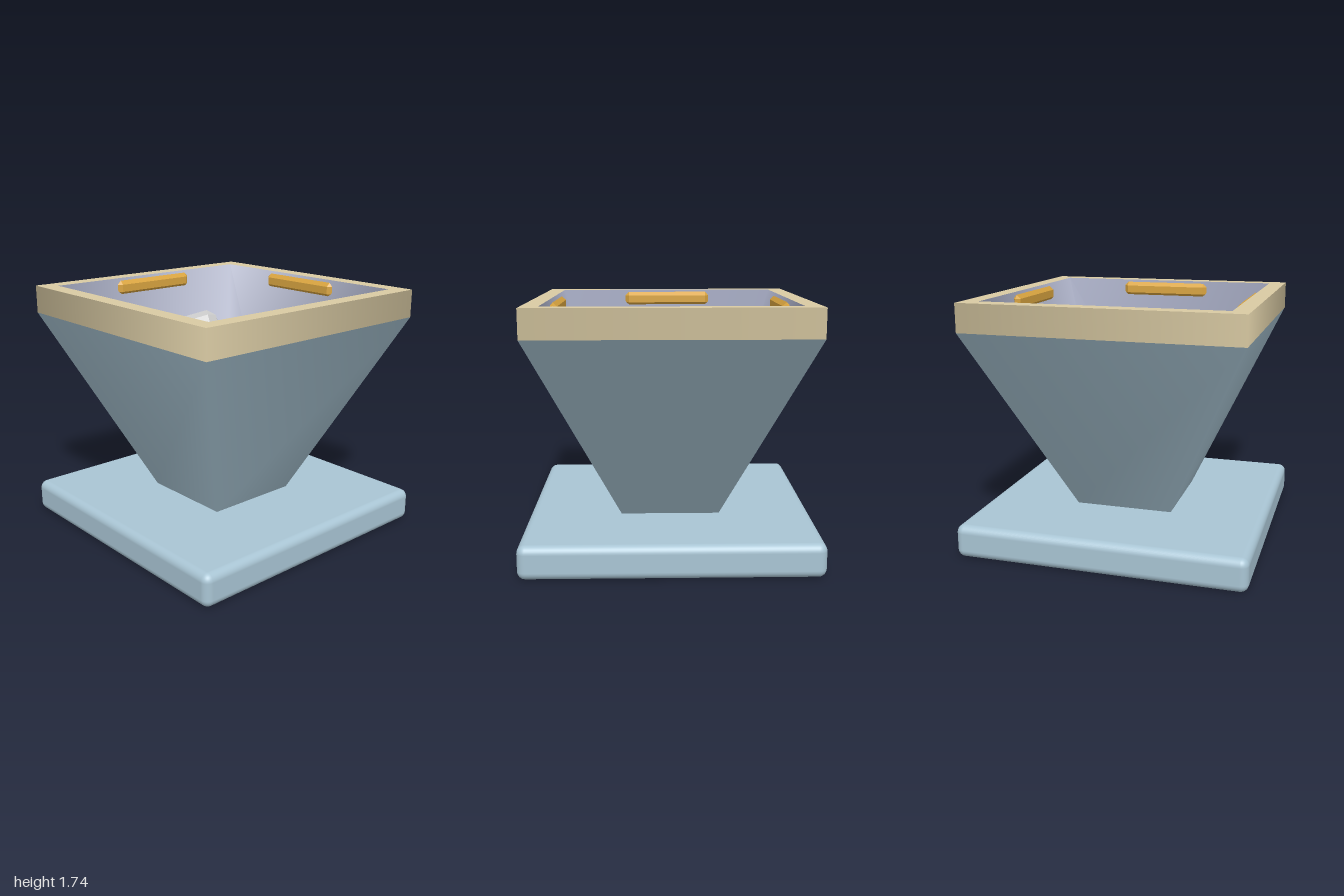
import * as THREE from 'three';
import { RoundedBoxGeometry } from 'three/addons/geometries/RoundedBoxGeometry.js';
import { ConvexGeometry } from 'three/addons/geometries/ConvexGeometry.js';

function makeMaterial(name, color, side = THREE.FrontSide) {
  const m = new THREE.MeshStandardMaterial({ color, side });
  m.name = name;
  return m;
}

// Box with single flat chamfers along every edge
function chamferBox(w, h, d, bevel) {
  const pts = [];
  for (const sx of [-1, 1]) for (const sy of [-1, 1]) for (const sz of [-1, 1]) {
    for (let axis = 0; axis < 3; axis++) {
      const inset = [0, 1, 2].map((i) => (i === axis ? 0 : bevel));
      pts.push(new THREE.Vector3(
        sx * (w / 2 - inset[0]), sy * (h / 2 - inset[1]), sz * (d / 2 - inset[2])));
    }
  }
  return new ConvexGeometry(pts);
}

// Open four-sided funnel wall, given half widths and heights
function squareWall(topHalf, bottomHalf, y0, y1) {
  const r = Math.SQRT2;
  return new THREE.CylinderGeometry(topHalf * r, bottomHalf * r, y1 - y0, 4, 1, true, Math.PI / 4)
    .translate(0, (y0 + y1) / 2, 0);
}

function squarePath(path, h) {
  path.moveTo(-h, -h);
  path.lineTo(h, -h);
  path.lineTo(h, h);
  path.lineTo(-h, h);
  path.closePath();
  return path;
}

export function createModel() {
  const model = new THREE.Group();
  const blue = makeMaterial('paleBlue', 0xa9c5d4);
  const tan = makeMaterial('sand', 0xd9caa3);
  const lavender = makeMaterial('lavender', 0xa0a5bc, THREE.DoubleSide);
  const gold = makeMaterial('gold', 0xdaa540);
  const grey = makeMaterial('stoneGrey', 0xcacaca);

  function add(name, geometry, material) {
    const mesh = new THREE.Mesh(geometry, material);
    mesh.name = name;
    model.add(mesh);
    return mesh;
  }

  const baseTop = 0.23, rimBottom = 1.54, rimTop = 1.735;
  const outer = 0.94, inner = 0.825, floorHalf = 0.31;

  // Base slab
  add('base', new RoundedBoxGeometry(2, baseTop, 2, 4, 0.055), blue)
    .position.y = baseTop / 2;

  // Hopper shell, lining and floor
  add('hopperShell', squareWall(outer, 0.345, baseTop, rimBottom), blue);
  add('hopperLining', squareWall(inner, floorHalf, 0.25, rimTop), lavender);
  add('hopperFloor', new THREE.PlaneGeometry(2 * floorHalf, 2 * floorHalf)
    .rotateX(-Math.PI / 2).translate(0, 0.25, 0), lavender);

  // Rim band with a flat top ring
  add('rimBand', squareWall(outer, outer, rimBottom, rimTop), tan);
  const ring = squarePath(new THREE.Shape(), outer);
  ring.holes.push(squarePath(new THREE.Path(), inner));
  add('rimTop', new THREE.ShapeGeometry(ring)
    .rotateX(-Math.PI / 2).translate(0, rimTop, 0), tan);

  // One gold bar inside each side of the rim
  const barGeometry = chamferBox(0.67, 0.11, 0.056, 0.0279);
  for (let i = 0; i < 4; i++) {
    const angle = (i * Math.PI) / 2;
    const bar = add('rimBar', barGeometry, gold);
    bar.position.set(Math.sin(angle) * 0.796, 1.665, Math.cos(angle) * 0.796);
    bar.rotation.y = angle;
  }

  // Tumbled stones: centre, side direction, up direction
  const stoneGeometry = chamferBox(0.45, 0.45, 0.45, 0.055);
  const stones = [
    [[0, 1.22, -0.3], [0.28, 0.1, 0.22], [0.05, 0.31, -0.2]],
    [[0.26, 0.95, 0.18], [0.22, 0.24, 0.17], [0.02, 0.25, -0.27]],
    [[-0.19, 0.74, -0.11], [0.98, -0.15, -0.1], [0.15, 1, 0.25]],
  ];
  for (const [centre, side, up] of stones) {
    const x = new THREE.Vector3(...side).normalize();
    const z = x.clone().cross(new THREE.Vector3(...up)).normalize();
    const y = z.clone().cross(x);
    const stone = add('stone', stoneGeometry, grey);
    stone.quaternion.setFromRotationMatrix(new THREE.Matrix4().makeBasis(x, y, z));
    stone.position.set(...centre);
  }

  return model;
}
